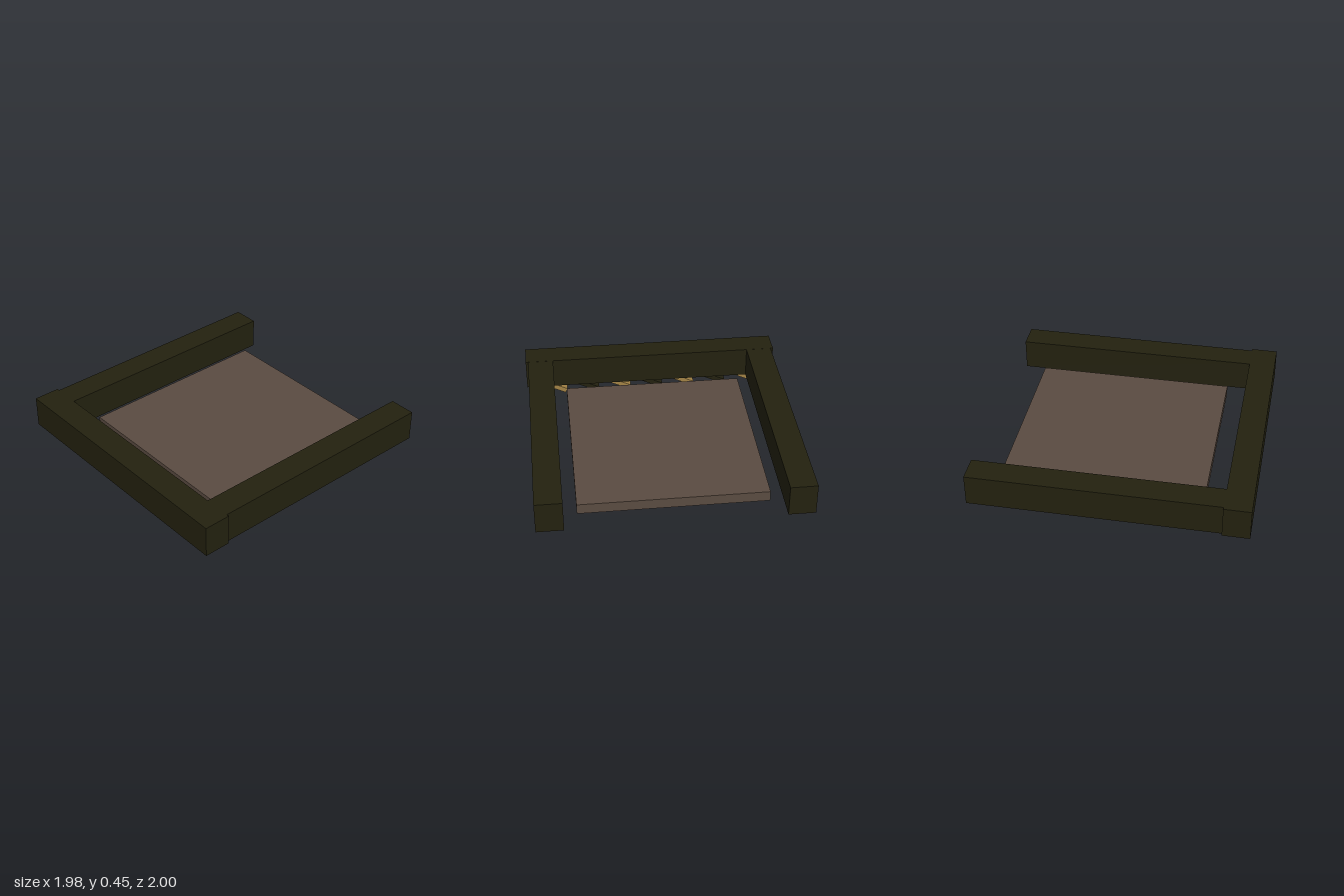
import * as THREE from 'three';

const paint = (name, color) => {
  const m = new THREE.MeshStandardMaterial({ color });
  m.name = name;
  return m;
};

export function createModel() {
  const model = new THREE.Group();
  const darkWood = paint('dark wood', 0x23210f);
  const brown = paint('brown board', 0x5a4b41);
  const gold = paint('gold', 0xa38345);
  const red = paint('red', 0xd02c22);
  const paper = paint('pale grey', 0xb0a890);
  const black = paint('near black', 0x17140c);

  const add = (name, geometry, material, x, y, z) => {
    const mesh = new THREE.Mesh(geometry, material);
    mesh.name = name;
    mesh.position.set(x, y, z);
    model.add(mesh);
    return mesh;
  };
  // Box given by its limits on each axis
  const box = (name, material, [x0, x1], [y0, y1], [z0, z1]) =>
    add(name, new THREE.BoxGeometry(x1 - x0, y1 - y0, z1 - z0), material,
      (x0 + x1) / 2, (y0 + y1) / 2, (z0 + z1) / 2);
  // Disc facing the front
  const disc = (name, material, r, depth, x, y, z) =>
    add(name, new THREE.CylinderGeometry(r, r, depth, 40).rotateX(Math.PI / 2), material, x, y, z);

  // Three-sided frame
  box('frontBeam', darkWood, [-0.99, 0.99], [0.215, 0.45], [0.805, 1]);
  box('leftBeam', darkWood, [0.775, 0.97], [0.215, 0.449], [-1, 0.81]);
  box('rightBeam', darkWood, [-0.97, -0.775], [0.215, 0.449], [-1, 0.81]);

  // Board between the beams
  box('board', brown, [-0.68, 0.68], [0.205, 0.283], [-0.82, 0.65]);

  // Slanted slats in alternating colours under the front beam
  for (let i = -3; i <= 3; i++) {
    const slat = add('slat', new THREE.BoxGeometry(0.2, 0.038, 0.08), i % 2 ? gold : darkWood,
      i * 0.256, 0.178, 0.885);
    slat.rotation.z = 0.44;
  }

  // Objects hanging below the board
  box('block', darkWood, [-0.66, -0.37], [0.09, 0.215], [-0.25, 0.11]);
  disc('redDisc', red, 0.064, 0.04, -0.515, 0.066, 0.185);
  disc('goldDisc', gold, 0.127, 0.072, 0.53, 0.15, -0.072);
  box('tray', paper, [-0.36, 0.36], [0.135, 0.151], [0.353, 0.61]);
  box('trayStrip', gold, [-0.35, -0.29], [0.12, 0.136], [0.363, 0.6]);

  // Scattered sticks: centre x, centre z, direction x, direction z
  const sticks = [
    [0.36, -0.63, -0.19, 0.03], [0.36, -0.58, 0.02, 0.12], [0.41, -0.22, 0.1, 0.01],
    [0.01, -0.58, 0, 0.08], [0.57, 0.14, 0.025, 0.1], [0.11, 0.02, 0.07, 0.03],
    [-0.18, -0.18, 0.08, 0], [-0.39, -0.43, 0.015, 0.19], [-0.52, -0.52, 0.055, -0.17],
    [0.12, 0.33, 0.08, 0.06], [0.08, 0.36, 0.06, -0.02], [-0.11, 0.13, 0, 0.08],
    [-0.28, 0.18, 0.1, -0.19], [-0.53, 0.57, 0.028, 0.2],
  ];
  for (const [x, z, dx, dz] of sticks) {
    const stick = add('stick', new THREE.BoxGeometry(Math.hypot(dx, dz), 0.01, 0.025), black, x, 0.18, z);
    stick.rotation.y = Math.atan2(-dz, dx);
  }
  return model;
}
